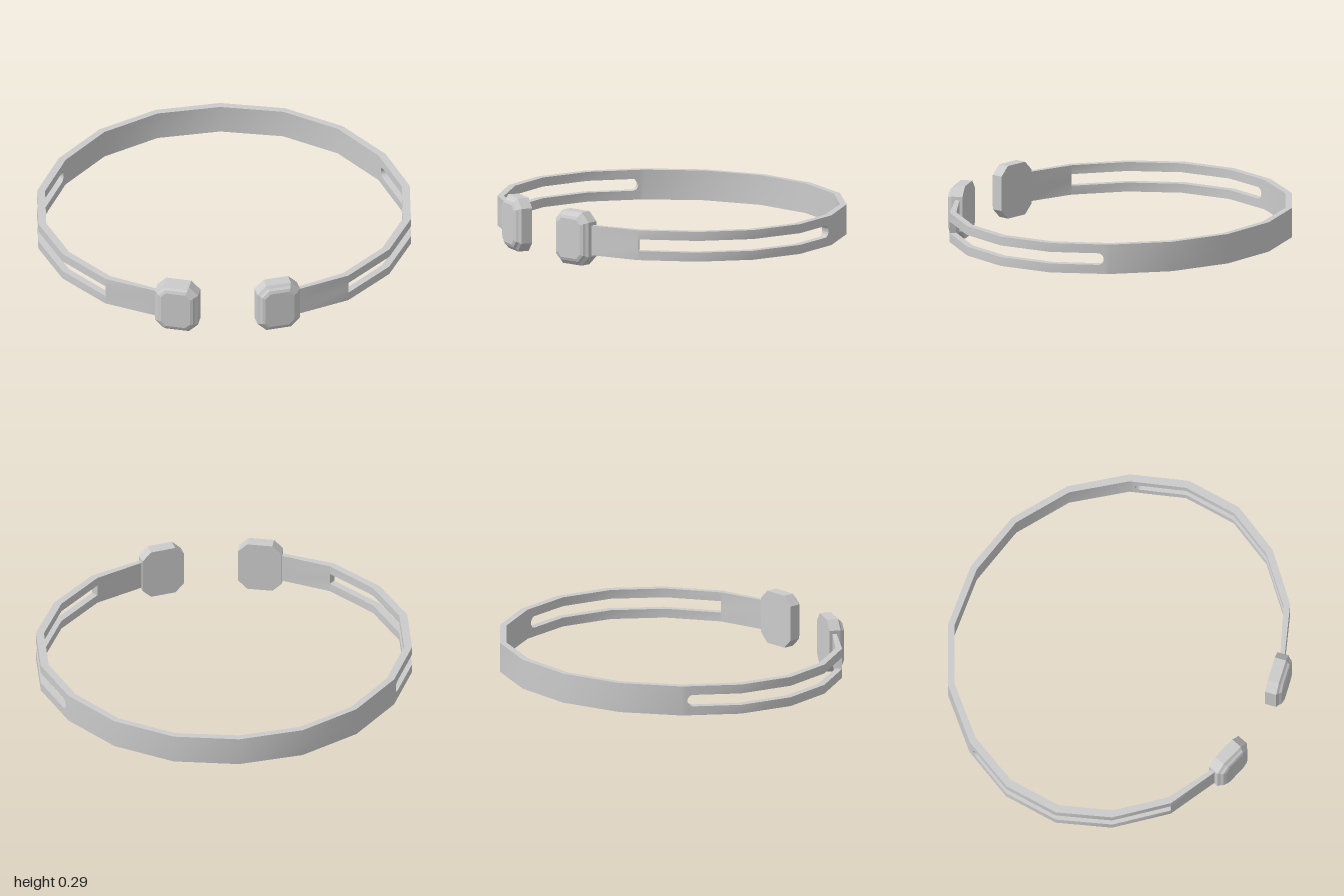
import * as THREE from 'three';
import { toCreasedNormals } from 'three/addons/utils/BufferGeometryUtils.js';

const material = new THREE.MeshStandardMaterial({ color: 0xcccccc });
const gemMaterial = new THREE.MeshStandardMaterial({ color: 0xcccccc, flatShading: true });

// Collects triangles, dropping any without area
function surface() {
  const pos = [];
  const tri = (a, b, c) => {
    if (new THREE.Triangle(a, b, c).getArea() > 1e-8) for (const p of [a, b, c]) pos.push(p.x, p.y, p.z);
  };
  return {
    tri,
    quad(a, b, c, d) { tri(a, b, c); tri(a, c, d); },
    build() {
      const g = new THREE.BufferGeometry();
      g.setAttribute('position', new THREE.Float32BufferAttribute(pos, 3));
      g.computeVertexNormals();
      return g;
    },
  };
}

// Band: faceted open ring with a slot in each side
function bandGeometry() {
  const low = 0.06, high = 0.222, mid = 0.141, slot = 0.032;
  // outer x, outer z, inner x, inner z; from the front end to the middle of the back
  const corners = [
    [0.36, 0.82, 0.35, 0.8], [0.652, 0.692, 0.626, 0.666], [0.877, 0.457, 0.84, 0.441],
    [1, 0.18, 0.957, 0.174], [1, -0.125, 0.957, -0.12], [0.877, -0.42, 0.84, -0.404],
    [0.652, -0.68, 0.626, -0.655], [0.348, -0.851, 0.337, -0.818], [0, -0.907, 0, -0.87],
  ];
  const half = [];
  corners.forEach((p, i) => {
    if (i === 1) half.push({ p, h: 0 }); // square slot end
    half.push({ p, h: i >= 1 && i <= 4 ? slot : 0 });
    if (i === 4) { // rounded slot end
      for (let k = 0; k <= 6; k++) {
        const a = (k / 6) * Math.PI / 2, f = 0.807 + 0.1 * Math.sin(a);
        half.push({ p: p.map((v, n) => v + (corners[5][n] - v) * f), h: k === 6 ? 0 : slot * Math.cos(a) });
      }
    }
  });
  const mirrored = half.slice(0, -1).reverse().map(({ p, h }) => ({ p: [-p[0], p[1], -p[2], p[3]], h }));
  const stations = [...half, ...mirrored];

  const s = surface();
  const section = ({ p }, y0, y1) => [
    new THREE.Vector3(p[0], y0, p[1]), new THREE.Vector3(p[0], y1, p[1]),
    new THREE.Vector3(p[2], y1, p[3]), new THREE.Vector3(p[2], y0, p[3]),
  ];
  for (let i = 0; i < stations.length - 1; i++) {
    const a = stations[i], b = stations[i + 1];
    const solid = a.h === 0 && b.h === 0;
    const rail = (sa, sb, slotSide) => {
      for (let k = 0; k < 4; k++) {
        if (solid && k === slotSide) continue;
        const n = (k + 1) % 4;
        s.quad(sa[k], sb[k], sb[n], sa[n]);
      }
    };
    rail(section(a, mid + a.h, high), section(b, mid + b.h, high), 3);
    rail(section(a, low, mid - a.h), section(b, low, mid - b.h), 1);
  }
  return toCreasedNormals(s.build(), 0.6);
}

// Gem: eight-sided block with a stepped, bevelled crown
function gemGeometry() {
  const w = 0.118, h = 0.145, cut = 0.05;
  const profile = [[0, 0], [0, 0.062], [0.014, 0.073], [0.022, 0.085], [0.038, 0.092]]; // inset, depth
  const rings = profile.map(([inset, z]) => {
    const x = w - inset, y = h - inset, c = cut - inset * 0.6;
    return [[x, c - y], [x, y - c], [x - c, y], [c - x, y], [-x, y - c], [-x, c - y], [c - x, -y], [x - c, -y]]
      .map(([px, py]) => new THREE.Vector3(px, py, z));
  });
  const s = surface();
  for (let r = 0; r < rings.length - 1; r++) {
    for (let i = 0; i < 8; i++) {
      const n = (i + 1) % 8;
      s.quad(rings[r][i], rings[r][n], rings[r + 1][n], rings[r + 1][i]);
    }
  }
  const back = rings[0], front = rings[rings.length - 1];
  for (let i = 1; i < 7; i++) {
    s.tri(front[0], front[i], front[i + 1]);
    s.tri(back[0], back[i + 1], back[i]);
  }
  return s.build();
}

export function createModel() {
  const group = new THREE.Group();
  group.name = 'cuffBracelet';

  const band = new THREE.Mesh(bandGeometry(), material);
  band.name = 'band';
  group.add(band);

  // A gem on each end of the band
  const geometry = gemGeometry();
  for (const side of [1, -1]) {
    const gem = new THREE.Mesh(geometry, gemMaterial);
    gem.name = side > 0 ? 'leftGem' : 'rightGem';
    gem.position.set(side * 0.26, 0.145, 0.797);
    gem.rotation.y = side * 0.227;
    group.add(gem);
  }
  return group;
}
